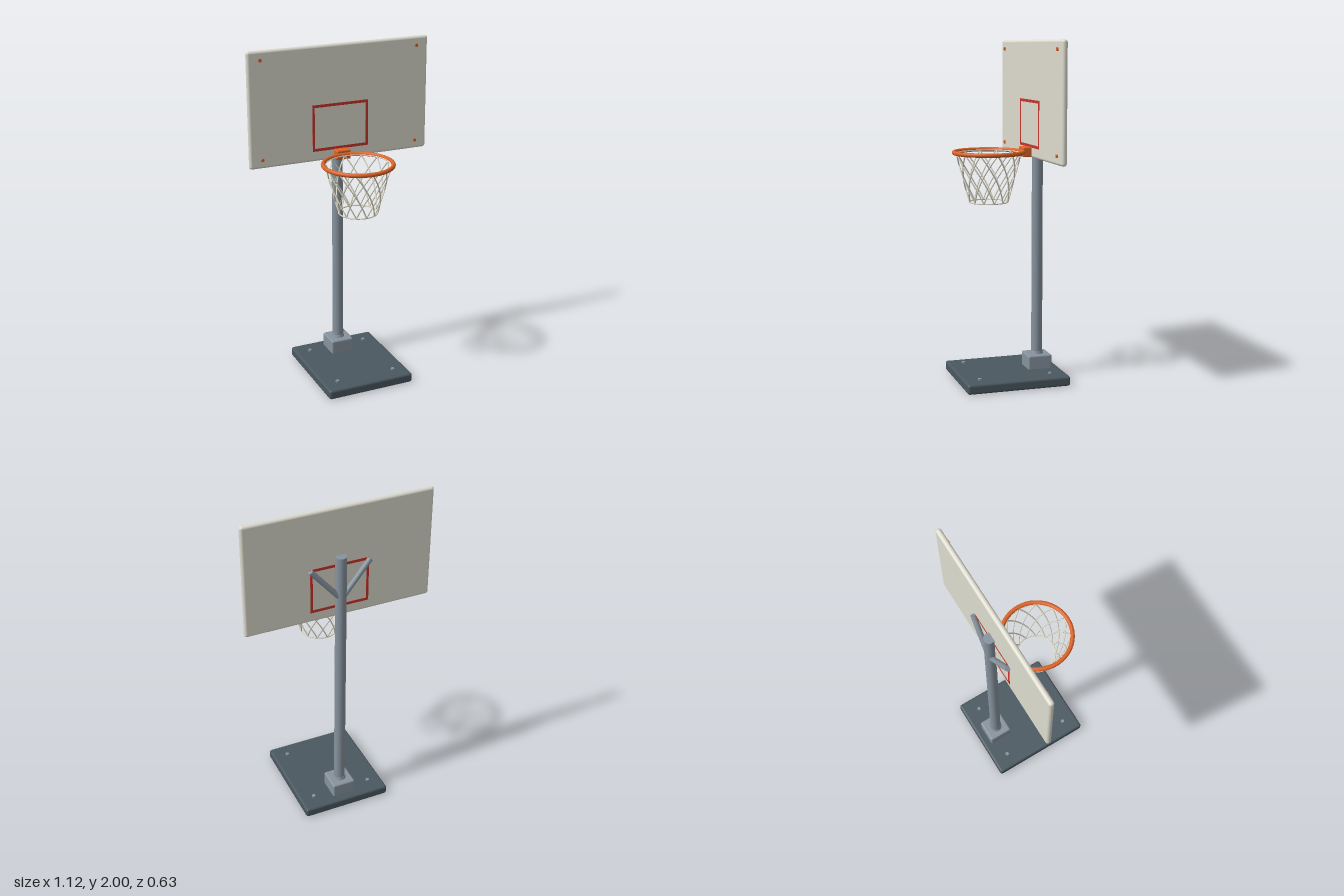
import * as THREE from 'three';
import { RoundedBoxGeometry } from 'three/addons/geometries/RoundedBoxGeometry.js';
import { mergeGeometries } from 'three/addons/utils/BufferGeometryUtils.js';

function material(name, color) {
  const m = new THREE.MeshStandardMaterial({ color });
  m.name = name;
  return m;
}

export function createModel() {
  const group = new THREE.Group();
  const slate = material('slate', 0x4a5860);
  const steel = material('steel', 0x87939e);
  const cream = material('cream', 0xdedccf);
  const orange = material('orange', 0xdc6428);
  const red = material('red', 0xc8352b);
  const netWhite = material('netWhite', 0xe2decd);

  function add(name, geometry, mat, x = 0, y = 0, z = 0) {
    const mesh = new THREE.Mesh(geometry, mat);
    mesh.name = name;
    mesh.position.set(x, y, z);
    group.add(mesh);
    return mesh;
  }
  const box = (w, h, d, r) => new RoundedBoxGeometry(w, h, d, 3, r);
  const vec = (x, y, z) => new THREE.Vector3(x, y, z);

  // Cylinder running between two points
  function rod(name, a, b, radius, mat) {
    const dir = b.clone().sub(a);
    const mesh = add(name, new THREE.CylinderGeometry(radius, radius, dir.length(), 20), mat);
    mesh.position.copy(a).add(b).multiplyScalar(0.5);
    mesh.quaternion.setFromUnitVectors(vec(0, 1, 0), dir.normalize());
  }

  // Base slab with its anchor bolts
  add('base', box(0.54, 0.058, 0.62, 0.014), slate, 0, 0.029, -0.007);
  for (const x of [-0.182, 0.182])
    for (const z of [-0.218, 0.21])
      add('baseBolt', new THREE.CylinderGeometry(0.012, 0.012, 0.02, 6), steel, x, 0.057, z);

  // Pole, socket and collar
  const poleZ = -0.196;
  add('poleSocket', box(0.142, 0.09, 0.146, 0.01), steel, 0, 0.095, poleZ);
  add('poleCollar', new THREE.CylinderGeometry(0.034, 0.04, 0.018, 32), steel, 0, 0.147, poleZ);
  add('pole', new THREE.CylinderGeometry(0.032, 0.033, 1.58, 32), steel, 0, 0.92, poleZ);

  // Diagonal braces from the pole to the board
  for (const s of [-1, 1])
    rod('brace', vec(0, 1.445, -0.204), vec(s * 0.178, 1.652, -0.19), 0.016, steel);

  // Backboard with corner bolts
  const boardZ = -0.163, boardDepth = 0.032;
  add('backboard', box(1.12, 0.68, boardDepth, 0.0155), cream, 0, 1.66, boardZ);
  for (const x of [-0.484, 0.484])
    for (const y of [1.372, 1.948]) {
      const bolt = add('boardBolt', new THREE.CylinderGeometry(0.01, 0.01, 0.012, 12), orange, x, y, -0.145);
      bolt.rotation.x = Math.PI / 2;
    }

  // Target rectangle, painted on both faces of the board
  for (const s of [-1, 1]) {
    const z = boardZ + s * (boardDepth / 2 + 0.0005);
    for (const y of [1.389, 1.649])
      add('targetBar', new THREE.BoxGeometry(0.35, 0.016, 0.003), red, 0, y, z);
    for (const x of [-0.168, 0.168])
      add('targetPost', new THREE.BoxGeometry(0.014, 0.276, 0.003), red, x, 1.519, z);
  }

  // Rim and its bracket
  const rimY = 1.356, rimZ = 0.102;
  add('rimBracket', box(0.09, 0.058, 0.054, 0.008), orange, 0, 1.355, -0.122);
  add('rim', new THREE.TorusGeometry(0.2, 0.0125, 14, 64), orange, 0, rimY, rimZ).rotation.x = Math.PI / 2;

  // Net: two families of strands winding in opposite directions
  const topR = 0.189, bottomR = 0.113, topY = rimY - 0.004, bottomY = 1.068;
  const count = 12, twist = Math.PI / 3;
  const strands = [];
  for (const dir of [-1, 1])
    for (let i = 0; i < count; i++) {
      const points = [];
      for (let k = 0; k <= 8; k++) {
        const t = k / 8;
        const angle = (i / count) * Math.PI * 2 + dir * twist * t;
        const r = topR + (bottomR - topR) * t;
        points.push(vec(Math.cos(angle) * r, topY + (bottomY - topY) * t, Math.sin(angle) * r));
      }
      strands.push(new THREE.TubeGeometry(new THREE.CatmullRomCurve3(points), 16, 0.004, 6));
    }
  add('netStrands', mergeGeometries(strands), netWhite, 0, 0, rimZ);
  for (const [r, y] of [[topR, topY], [bottomR, bottomY]])
    add('netRing', new THREE.TorusGeometry(r, 0.004, 6, 48), netWhite, 0, y, rimZ).rotation.x = Math.PI / 2;

  return group;
}
